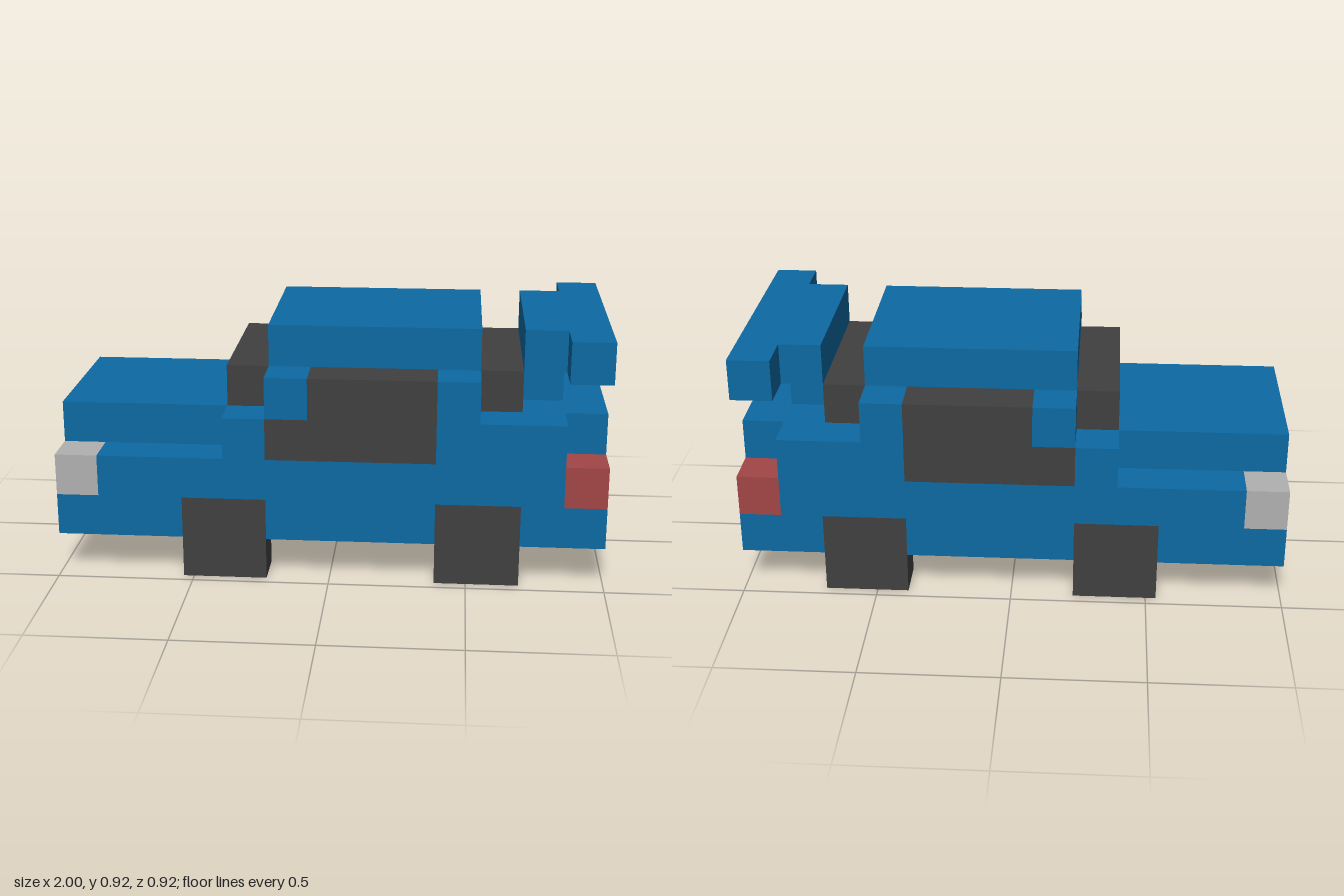
import * as THREE from 'three';

const U = 2 / 13; // one block; the car is 13 long, 6 high, 6 wide

const mat = (name, color) => {
  const m = new THREE.MeshStandardMaterial({ color });
  m.name = name;
  return m;
};

export function createModel() {
  const blue = mat('blue paint', 0x0d69a2);
  const dark = mat('dark glass and rubber', 0x404040);
  const silver = mat('silver lamp', 0xb0b0b0);
  const red = mat('red lamp', 0xa24646);

  const car = new THREE.Group();
  car.name = 'blockCar';

  // Box from block i0..i1 along x, j0..j1 in height, k0..k1 along z
  const block = (name, material, i0, i1, j0, j1, k0, k1) => {
    const geo = new THREE.BoxGeometry((i1 - i0) * U, (j1 - j0) * U, (k1 - k0) * U);
    const mesh = new THREE.Mesh(geo, material);
    mesh.name = name;
    mesh.position.set(((i0 + i1) / 2) * U - 1, ((j0 + j1) / 2) * U, ((k0 + k1) / 2 - 3) * U);
    car.add(mesh);
  };
  // The same block on both flanks
  const pair = (name, material, i0, i1, j0, j1, k0, k1) => {
    block(name + 'Right', material, i0, i1, j0, j1, k0, k1);
    block(name + 'Left', material, i0, i1, j0, j1, 6 - k1, 6 - k0);
  };

  // Lower body, with gaps in the flanks for wheels and lamps
  block('chassis', blue, 0, 13, 1, 2, 1, 5);
  block('bodyCore', blue, 1, 12, 2, 3, 1, 5);
  block('nose', blue, 0, 1, 2, 3, 2, 4);
  block('tail', blue, 12, 13, 2, 3, 2, 4);
  for (const [a, b] of [[0, 3], [5, 9], [11, 13]]) pair('sill', blue, a, b, 1, 2, 0, 1);
  pair('flank', blue, 1, 12, 2, 3, 0, 1);

  // Wheels reach up into the sills
  pair('frontWheel', dark, 3, 5, 0, 2, 0, 1);
  pair('rearWheel', dark, 9, 11, 0, 2, 0, 1);

  // Lamps wrap around the corners
  pair('headlight', silver, 0, 1, 2, 3, 0, 2);
  pair('tailLight', red, 12, 13, 2, 3, 0, 2);

  // Hood, waist and trunk
  block('hood', blue, 0, 4, 3, 4, 1, 5);
  block('waist', blue, 4, 12, 3, 4, 1, 5);
  block('trunk', blue, 12, 13, 3, 4, 1, 5);
  pair('frontDoorEdge', blue, 4, 5, 3, 4, 0, 1);
  pair('rearFender', blue, 9, 12, 3, 4, 0, 1);

  // Cabin with its glass
  block('cabin', blue, 5, 10, 4, 5, 1, 5);
  block('windshield', dark, 4, 5, 4, 5, 1, 5);
  block('rearWindow', dark, 10, 11, 4, 5, 1, 5);
  pair('sideWindowLower', dark, 5, 9, 3, 4, 0, 1);
  pair('sideWindowUpper', dark, 6, 9, 4, 5, 0, 1);
  pair('frontPillar', blue, 5, 6, 4, 5, 0, 1);
  pair('rearPillar', blue, 9, 10, 4, 5, 0, 1);
  block('roof', blue, 5, 10, 5, 6, 1, 5);

  // Spoiler on a central post
  block('spoilerPost', blue, 11, 12, 4, 5, 2, 4);
  block('spoilerFront', blue, 11, 12, 5, 6, 1, 5);
  block('spoilerWing', blue, 12, 13, 5, 6, 0, 6);

  return car;
}
